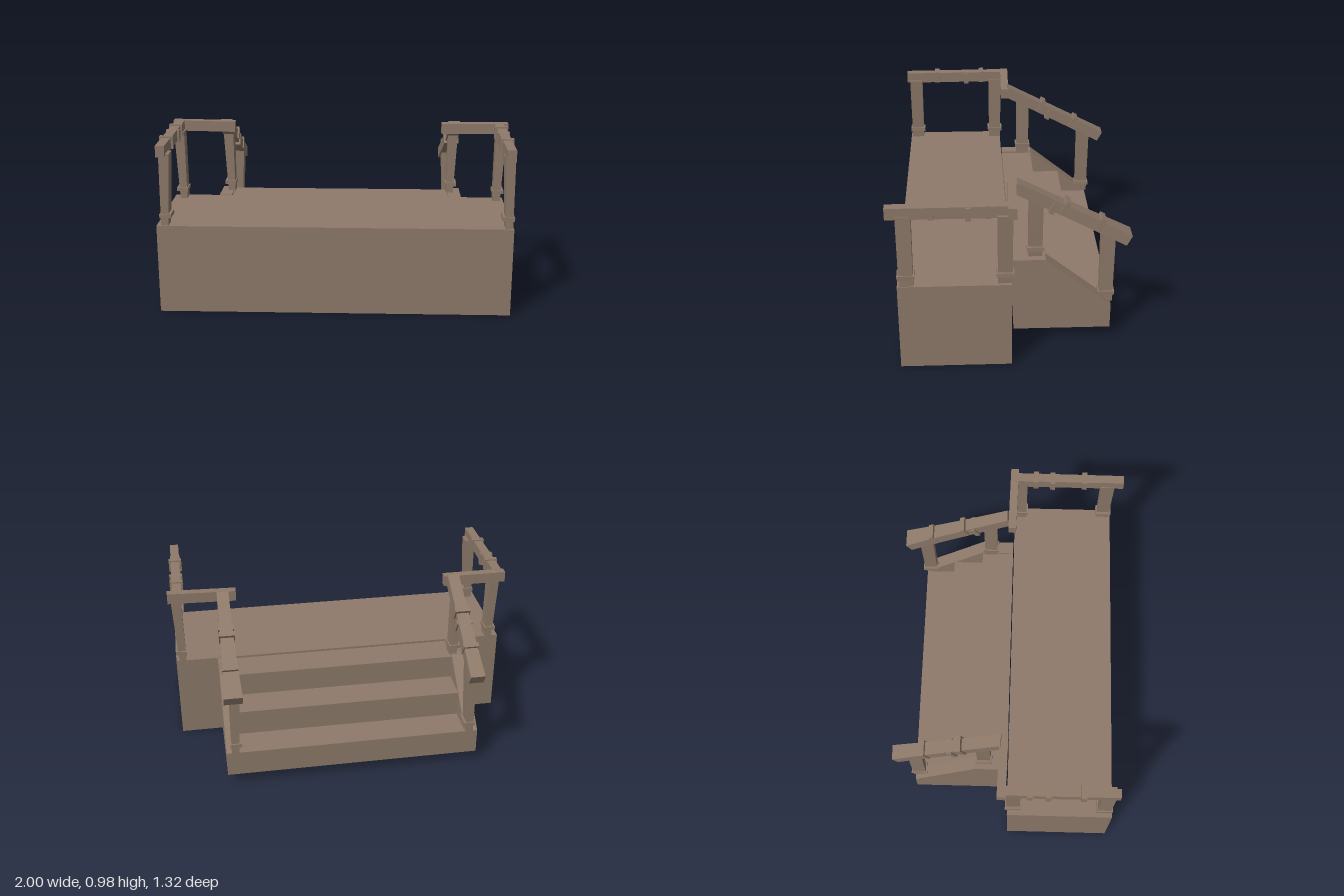
import * as THREE from 'three';

export function createModel() {
  const model = new THREE.Group();
  model.name = 'porchWithSteps';
  const wood = new THREE.MeshStandardMaterial({ color: 0x8e7a6a, flatShading: true });
  wood.name = 'weatheredWood';

  const add = (name, geometry, parent = model) => {
    const mesh = new THREE.Mesh(geometry, wood);
    mesh.name = name;
    parent.add(mesh);
    return mesh;
  };
  const box = (name, x0, x1, y0, y1, z0, z1, parent) => {
    const mesh = add(name, new THREE.BoxGeometry(x1 - x0, y1 - y0, z1 - z0), parent);
    mesh.position.set((x0 + x1) / 2, (y0 + y1) / 2, (z0 + z1) / 2);
    return mesh;
  };
  // Side profile given as [distance behind the deck, height], extruded along x
  const sideProfile = (name, points, x0, x1) => {
    const shape = new THREE.Shape(points.map(([u, y]) => new THREE.Vector2(u, y)));
    const geometry = new THREE.ExtrudeGeometry(shape, { depth: x1 - x0, bevelEnabled: false });
    geometry.rotateY(Math.PI / 2);
    geometry.translate(x0, 0, 0);
    return add(name, geometry);
  };

  // Deck
  box('deck', -1, 0.98, 0, 0.51, 0.005, 0.61);

  // Hollow steps between two solid side panels
  sideProfile('steps', [
    [0.56, 0.06], [0.56, 0.21], [0.375, 0.21], [0.375, 0.36], [0.19, 0.36], [0.19, 0.5], [0, 0.5],
    [0, 0.47], [0.16, 0.47], [0.16, 0.33], [0.34, 0.33], [0.34, 0.18], [0.45, 0.18], [0.45, 0.06],
  ], -0.66, 0.66);
  const panel = [[0.015, 0.06], [0.56, 0.06], [0.56, 0.21], [0.19, 0.51], [0, 0.51], [0, 0.4]];
  sideProfile('rightSidePanel', panel, -0.735, -0.66);
  sideProfile('leftSidePanel', panel, 0.66, 0.735);

  // Post narrowing towards its foot, with a band around the base
  const post = (name, x, z, y0, yFront, yBack, lean) => {
    const group = new THREE.Group();
    group.name = name;
    model.add(group);
    const geometry = new THREE.BoxGeometry(0.058, 1, 0.08, 1, 3, 1);
    const p = geometry.attributes.position;
    for (let i = 0; i < p.count; i++) {
      const t = p.getY(i) + 0.5;
      const top = p.getZ(i) > 0 ? yFront : yBack;
      p.setXYZ(i, x + p.getX(i) * (0.72 + 0.3 * t) + lean * (t - 0.5),
        y0 + t * (top - y0), z + p.getZ(i) * (0.95 + 0.05 * t));
    }
    geometry.computeVertexNormals();
    add('shaft', geometry, group);
    const band = box('baseBand', x - 0.033, x + 0.033, y0 + 0.045, y0 + 0.068, z - 0.047, z + 0.047, group);
    band.rotation.z = lean * 4;
  };

  // Rail between two [y, z] points, with a flared far end and thin bands
  const rail = (name, x, from, to, w0, w1, bands) => {
    const group = new THREE.Group();
    group.name = name;
    const dy = to[0] - from[0], dz = to[1] - from[1], length = Math.hypot(dy, dz);
    group.position.set(x, from[0], from[1]);
    group.rotation.x = Math.atan2(-dy, dz);
    model.add(group);
    const geometry = new THREE.BoxGeometry(1, 0.065, length, 1, 1, 3);
    geometry.translate(0, 0, length / 2);
    const p = geometry.attributes.position;
    for (let i = 0; i < p.count; i++) {
      const t = p.getZ(i) / length;
      p.setX(i, p.getX(i) * (w0 + (w1 - w0) * t * t));
    }
    geometry.computeVertexNormals();
    add('beam', geometry, group);
    for (const [d, lift] of bands) {
      const w = w0 / 2 + 0.011;
      box('band', -w, w, lift - 0.036, lift + 0.036, d - 0.015, d + 0.015, group);
    }
  };

  for (const s of [-1, 1]) {
    const side = s > 0 ? 'left' : 'right';
    const lean = s * 0.012;
    // Deck railing
    post(side + 'FrontPost', s * 0.948, 0.562, 0.51, 0.92, 0.92, -lean);
    post(side + 'CornerPost', s * 0.946, 0.04, 0.51, 0.92, 0.92, lean);
    rail(side + 'DeckRail', s > 0 ? 0.942 : -0.958, [0.94, -0.01], [0.937, s > 0 ? 0.655 : 0.62],
      0.054, 0.05, [[0.14, 0.004], [0.24, -0.006], [0.43, 0.004]]);
    const crossRail = s > 0
      ? box('leftCrossRail', 0.605, 0.998, 0.908, 0.97, -0.024, 0.022)
      : box('rightCrossRail', -0.998, -0.628, 0.908, 0.97, -0.045, 0.003);
    crossRail.rotation.z = s * 0.012;
    crossRail.rotation.y = -0.02;

    // Stair railing
    post(side + 'UpperStairPost', s * 0.678, -0.135, 0.505, 0.9, 0.86, lean);
    post(side + 'LowerStairPost', s * 0.678, -0.533, 0.215, 0.68, 0.64, -lean);
    // Built backwards from the deck, so the profile is turned to slope down to the rear
    slopedRail(side + 'StairRail', s * 0.682, s);
  }

  function slopedRail(name, x, s) {
    const bands = s > 0
      ? [[0.24, -0.012], [0.3, 0.014], [0.52, 0.012]]
      : [[0.26, 0.014], [0.33, -0.01], [0.5, 0.01]];
    rail(name, x, [0.945, -0.02], [0.618, -0.645], 0.068, s > 0 ? 0.105 : 0.085,
      bands.map(([d, lift]) => [d, -lift]));
  }

  return model;
}
